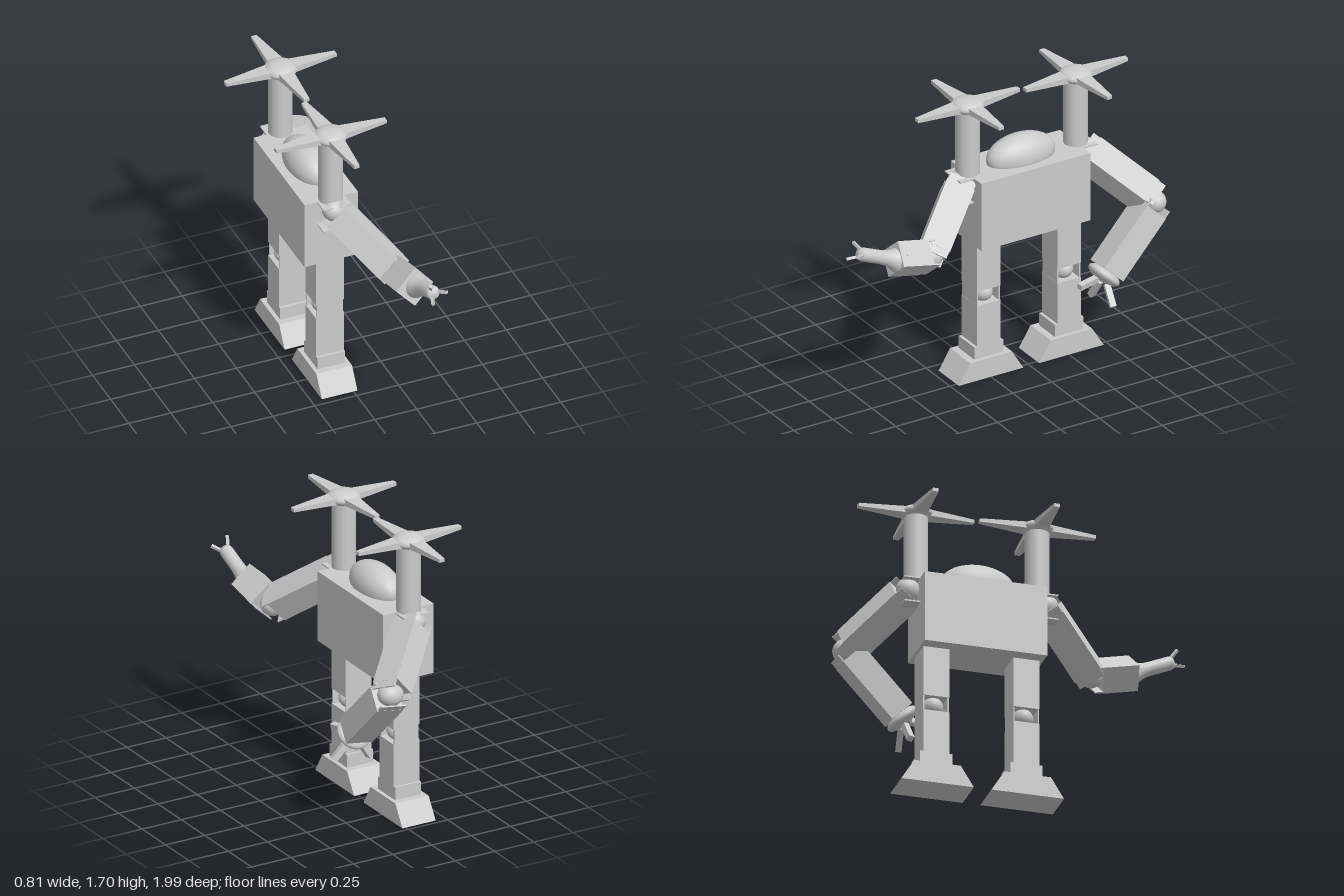
import * as THREE from 'three';

const grey = new THREE.MeshStandardMaterial({ color: 0xcccccc });
const CX = -0.085; // shared centre line of torso, legs and rotors
const V = (x, y, z) => new THREE.Vector3(x, y, z);

function add(parent, name, geo, x = 0, y = 0, z = 0) {
  const m = new THREE.Mesh(geo, grey);
  m.name = name;
  m.position.set(x, y, z);
  parent.add(m);
  return m;
}
const box = (w, h, d) => new THREE.BoxGeometry(w, h, d);
const ball = (rx, ry, rz) => new THREE.SphereGeometry(1, 32, 20).scale(rx, ry, rz);

// Box whose top face is scaled by (sx, sz)
function taperedBox(w, h, d, sx, sz) {
  const g = box(w, h, d).toNonIndexed();
  const p = g.attributes.position;
  for (let i = 0; i < p.count; i++) {
    if (p.getY(i) > 0) p.setXYZ(i, p.getX(i) * sx, p.getY(i), p.getZ(i) * sz);
  }
  g.computeVertexNormals();
  return g;
}

// Group at a joint; local -y runs along dir, local x is close to xHint
function frame(parent, name, origin, dir, xHint) {
  const y = dir.clone().normalize().negate();
  const z = xHint.clone().cross(y).normalize();
  const x = y.clone().cross(z);
  const g = new THREE.Group();
  g.name = name;
  g.quaternion.setFromRotationMatrix(new THREE.Matrix4().makeBasis(x, y, z));
  g.position.copy(origin);
  parent.add(g);
  return g;
}

// Limb box with thin fork plates reaching towards the joints at its ends
function limb(parent, name, start, length, topFork, bottomFork) {
  add(parent, name, box(0.165, length, 0.15), 0, -start - length / 2, 0);
  const ends = [];
  if (topFork) ends.push(-start + 0.022);
  if (bottomFork) ends.push(-start - length - 0.022);
  for (const y of ends) {
    for (const s of [-1, 1]) add(parent, 'forkPlate', box(0.155, 0.046, 0.008), 0, y, s * 0.07);
  }
}

function prong(parent, from, to, thick) {
  const d = to.clone().sub(from);
  const mid = from.clone().add(to).multiplyScalar(0.5);
  const m = add(parent, 'finger', box(thick, d.length(), thick), mid.x, mid.y, mid.z);
  m.quaternion.setFromUnitVectors(V(0, 1, 0), d.normalize());
}

function leg(root, z) {
  const g = new THREE.Group();
  g.name = 'leg';
  g.position.set(-0.083, 0, z);
  root.add(g);
  const upper = new THREE.Group();
  upper.name = 'legSegments';
  upper.position.y = 0.83;
  g.add(upper);
  limb(upper, 'thigh', 0, 0.297, false, true);
  limb(upper, 'shin', 0.385, 0.255, true, false);
  add(g, 'knee', ball(0.075, 0.06, 0.06), 0, 0.492, 0);
  add(g, 'ankle', box(0.165, 0.075, 0.185), 0, 0.157, 0);
  add(g, 'foot', taperedBox(0.212, 0.12, 0.415, 1, 0.64), 0, 0.06, 0);
}

function rotor(root, z) {
  const g = new THREE.Group();
  g.name = 'rotor';
  g.position.set(CX, 0, z);
  g.rotation.y = 0.04;
  root.add(g);
  add(g, 'column', new THREE.CylinderGeometry(0.068, 0.068, 0.4, 32), 0, 1.435, 0);
  add(g, 'hub', ball(0.092, 0.042, 0.092), 0, 1.655, 0);
  // Blades taper from root to tip
  for (let i = 0; i < 4; i++) {
    const pivot = new THREE.Group();
    pivot.name = 'bladePivot';
    pivot.rotation.y = (i * Math.PI) / 2;
    pivot.position.y = 1.655;
    g.add(pivot);
    const b = add(pivot, 'blade', taperedBox(0.04, 0.3, 0.095, 0.5, 0.33), 0.185, 0, 0);
    b.rotation.z = -Math.PI / 2;
  }
}

export function createModel() {
  const root = new THREE.Group();
  root.name = 'robot';

  // Body
  add(root, 'torso', box(0.32, 0.415, 0.7), CX, 1.0325, -0.255);
  add(root, 'dome', ball(0.112, 0.122, 0.212), CX, 1.262, -0.255);
  for (const z of [0, -0.515]) leg(root, z);
  for (const z of [0.085, -0.608]) rotor(root, z);

  // Shoulder brackets on both ends of the torso
  for (const z of [0.137, -0.652]) {
    for (const y of [1.234, 1.09]) add(root, 'shoulderPlate', box(0.165, 0.008, 0.09), CX, y, z);
  }

  // Front arm with tube hand
  const s1 = V(-0.085, 1.19, 0.13), e1 = V(0.145, 0.922, 0.462);
  const upper1 = frame(root, 'frontUpperArm', s1, e1.clone().sub(s1), V(0.57, -0.39, -0.72));
  add(upper1, 'shoulder', ball(0.075, 0.065, 0.065));
  limb(upper1, 'upperArm', 0.045, 0.4, true, true);
  const fore1 = frame(root, 'frontForearm', e1, V(0.02, 0.22, 0.975), V(1, 0.95, 0));
  add(fore1, 'elbow', ball(0.07, 0.065, 0.065));
  limb(fore1, 'forearm', 0.045, 0.205, true, false);
  const hand = frame(root, 'tubeHand', V(0.163, 0.975, 0.69), V(0.01, 0.39, 0.92), V(1, 0, 0));
  const profile = [[0, 0.02], [0.075, 0.02], [0.07, -0.01], [0.052, -0.045], [0.042, -0.08],
    [0.039, -0.12], [0.039, -0.245], [0.032, -0.265], [0, -0.272]];
  const tube = new THREE.LatheGeometry(profile.reverse().map(([r, y]) => new THREE.Vector2(r, y)), 32);
  add(hand, 'handTube', tube);
  for (let i = 0; i < 3; i++) {
    const a = Math.PI / 2 + 0.5 + (i * Math.PI * 2) / 3;
    const c = Math.cos(a), s = Math.sin(a);
    prong(hand, V(c * 0.02, -0.25, s * 0.02), V(c * 0.06, -0.31, s * 0.06), 0.016);
  }

  // Back arm with disc hand
  const s2 = V(-0.085, 1.185, -0.65), e2 = V(0.22, 0.92, -0.925);
  const upper2 = frame(root, 'backUpperArm', s2, e2.clone().sub(s2), V(0.45, -0.365, 0.81));
  add(upper2, 'shoulder', ball(0.075, 0.065, 0.065));
  limb(upper2, 'upperArm', 0.045, 0.4, true, true);
  const palm = V(0.25, 0.572, -0.585);
  const fore2 = frame(root, 'backForearm', e2, palm.clone().sub(e2), V(0.165, -0.02, 0.05));
  add(fore2, 'elbow', ball(0.075, 0.065, 0.065));
  limb(fore2, 'forearm', 0.045, 0.415, true, false);
  add(fore2, 'palm', ball(0.1, 0.04, 0.1), 0, -palm.distanceTo(e2), 0);
  for (const tip of [V(0.14, 0.405, -0.57), V(0.37, 0.43, -0.57), V(0.28, 0.556, -0.41)]) {
    prong(root, palm.clone().lerp(tip, 0.3), tip, 0.034);
  }
  return root;
}
